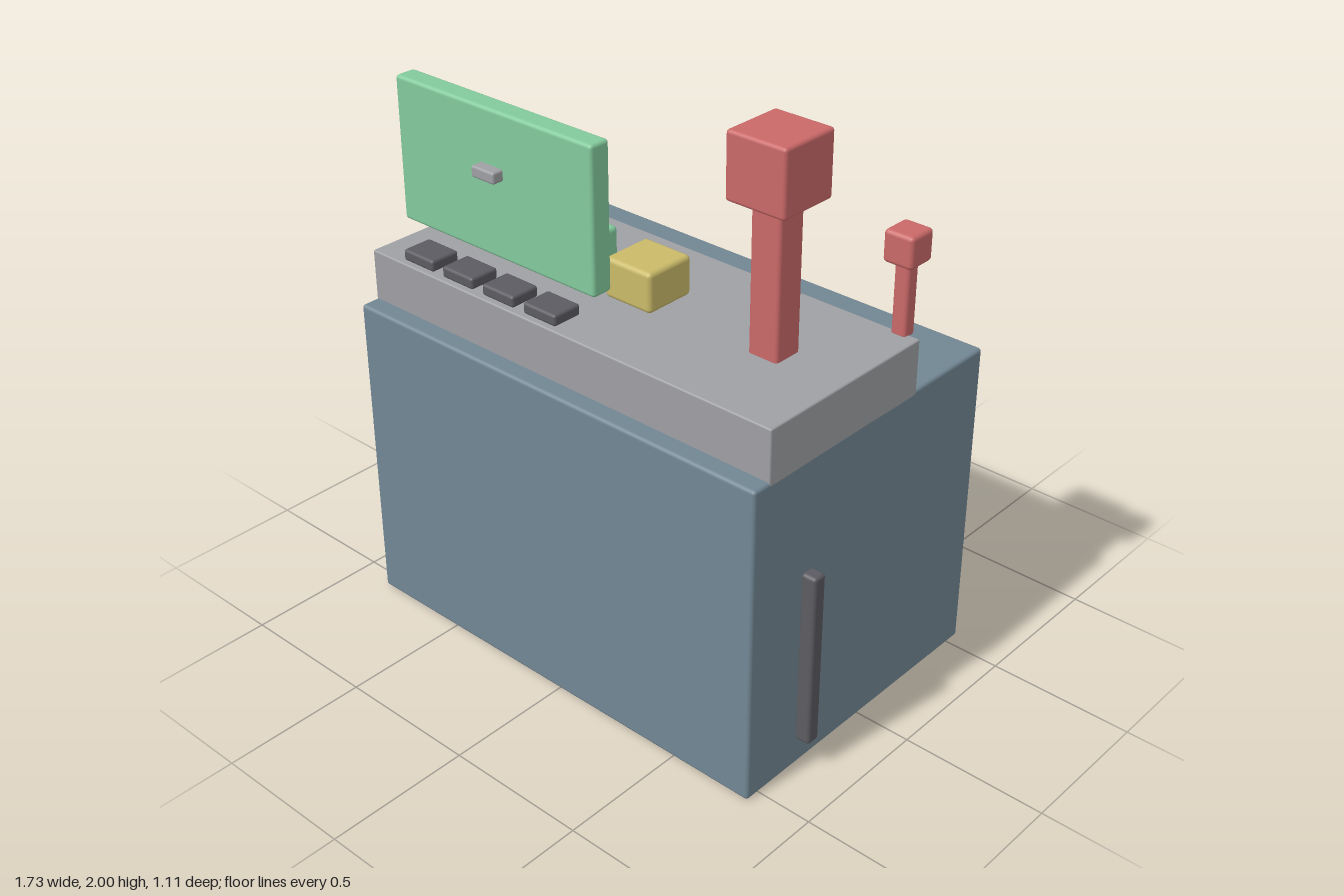
import * as THREE from 'three';
import { RoundedBoxGeometry } from 'three/addons/geometries/RoundedBoxGeometry.js';

const paint = (name, color) => {
  const m = new THREE.MeshStandardMaterial({ color });
  m.name = name;
  return m;
};

export function createModel() {
  const slate = paint('slate blue', 0x728794);
  const grey = paint('grey', 0x9fa0a4);
  const dark = paint('charcoal', 0x5b5b61);
  const red = paint('red', 0xca6868);
  const green = paint('green', 0x83ca9d);
  const yellow = paint('yellow', 0xcaba69);

  const model = new THREE.Group();
  model.name = 'controlDesk';

  // Box with softened edges, given by its extents on each axis
  function block(name, material, [x0, x1], [y0, y1], [z0, z1], bevel = 0.012) {
    const geometry = new RoundedBoxGeometry(x1 - x0, y1 - y0, z1 - z0, 2, bevel);
    const mesh = new THREE.Mesh(geometry, material);
    mesh.name = name;
    mesh.position.set((x0 + x1) / 2, (y0 + y1) / 2, (z0 + z1) / 2);
    model.add(mesh);
  }

  // Cabinet, its side handle and the raised console
  block('cabinet', slate, [-0.865, 0.805], [0, 1.12], [-0.556, 0.556]);
  block('sideHandle', dark, [0.808, 0.864], [0.11, 0.735], [0.285, 0.337]);
  block('console', grey, [-0.865, 0.805], [1.1, 1.294], [-0.205, 0.49], 0.006);

  // Upright screen with a small grip on its front
  block('screen', green, [-0.727, 0.105], [1.44, 1.923], [0.383, 0.459]);
  block('screenGrip', grey, [-0.36, -0.263], [1.704, 1.743], [0.45, 0.498], 0.008);

  // Row of keys under the screen
  for (let i = 0; i < 4; i++) {
    const x = -0.728 + i * 0.1815;
    block('key', dark, [x, x + 0.138], [1.297, 1.337], [0.366, 0.476], 0.01);
  }

  // Three large push buttons
  [red, green, yellow].forEach((material, i) => {
    const x = -0.685 + i * 0.3075;
    block('button', material, [x, x + 0.19], [1.302, 1.44], [0.046, 0.236], 0.016);
  });

  // Large and small levers with cube knobs
  block('largeLeverStem', red, [0.474, 0.584], [1.28, 1.79], [0.09, 0.198]);
  block('largeLeverKnob', red, [0.421, 0.638], [1.782, 2], [0.034, 0.252]);
  block('smallLeverStem', red, [0.711, 0.765], [1.285, 1.54], [-0.233, -0.181]);
  block('smallLeverKnob', red, [0.685, 0.791], [1.53, 1.637], [-0.26, -0.153], 0.014);

  return model;
}
